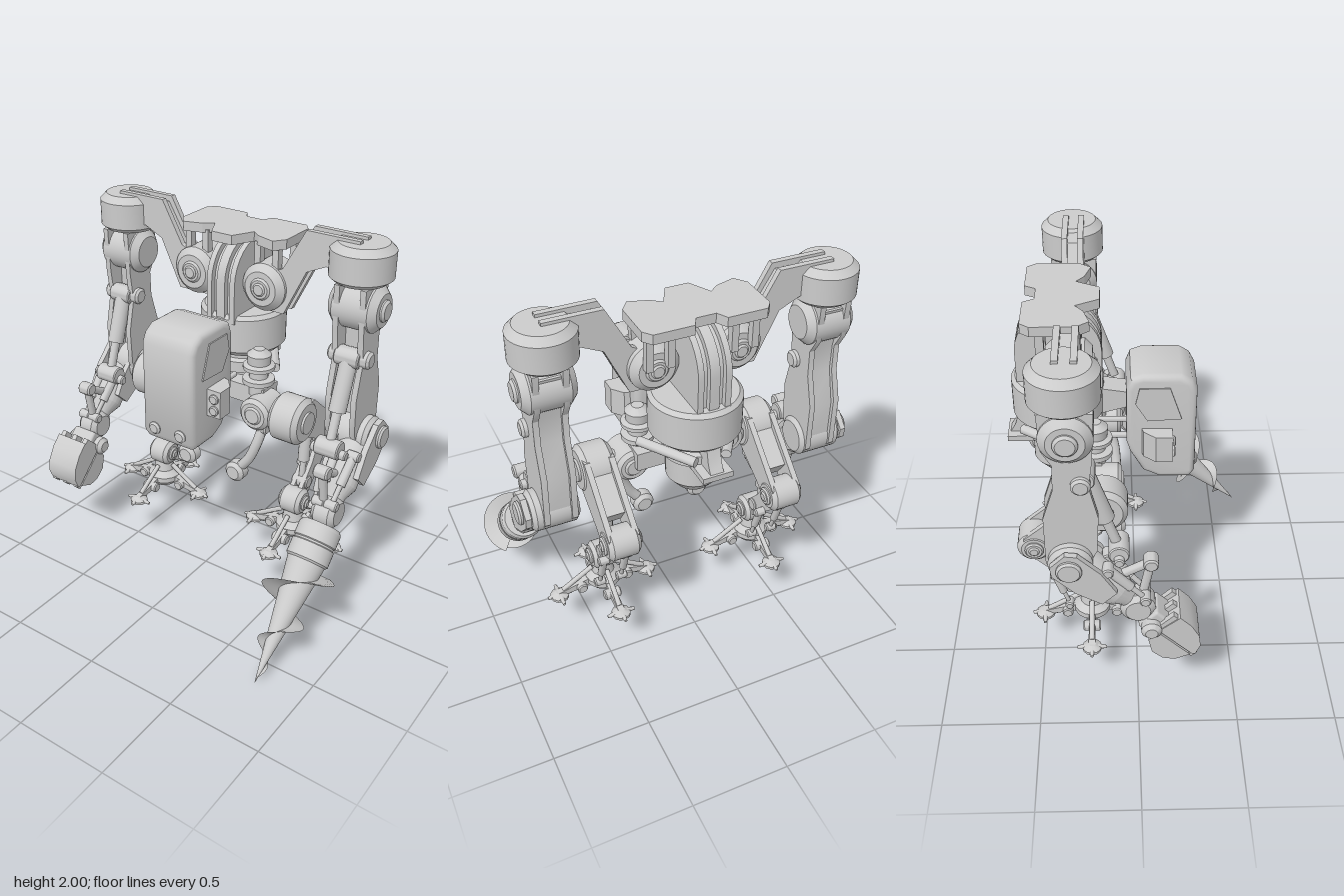
import * as THREE from 'three';
import { toCreasedNormals } from 'three/addons/utils/BufferGeometryUtils.js';
import { RoundedBoxGeometry } from 'three/addons/geometries/RoundedBoxGeometry.js';

const grey = new THREE.MeshStandardMaterial({ color: 0xcccccc });
const thin = new THREE.MeshStandardMaterial({ color: 0xcccccc, side: THREE.DoubleSide });
const V = (x, y, z) => new THREE.Vector3(x, y, z);

function add(parent, name, geo, x = 0, y = 0, z = 0) {
  const m = new THREE.Mesh(geo, grey);
  m.name = name;
  m.position.set(x, y, z);
  parent.add(m);
  return m;
}
const box = (p, name, w, h, d, x, y, z) => add(p, name, new THREE.BoxGeometry(w, h, d), x, y, z);
const lathe = (pts, n = 32) =>
  toCreasedNormals(new THREE.LatheGeometry(pts.map(([r, y]) => new THREE.Vector2(r, y)), n), 0.5);

// Bevelled drum along the axis 'x' or 'z'
function drum(p, name, r, h, axis, x, y, z, c = 0.02) {
  const m = add(p, name, lathe([[0, -h / 2], [r - c, -h / 2], [r, -h / 2 + c], [r, h / 2 - c], [r - c, h / 2], [0, h / 2]]), x, y, z);
  if (axis === 'x') m.rotation.z = Math.PI / 2;
  else m.rotation.x = Math.PI / 2;
}
// Joint: a drum along x with stepped bosses on both ends
function joint(p, name, r, w, x, y, z) {
  drum(p, name, r, w, 'x', x, y, z, r * 0.25);
  drum(p, name + 'Boss', r * 0.55, w + 0.03, 'x', x, y, z, 0.008);
  drum(p, name + 'Pin', r * 0.32, w + 0.045, 'x', x, y, z, 0.008);
}
// Round bar between two points
function rod(p, name, a, b, r, r2 = r) {
  const d = b.clone().sub(a);
  const m = add(p, name, toCreasedNormals(new THREE.CylinderGeometry(r2, r, d.length(), 16), 0.5));
  m.position.copy(a).addScaledVector(d, 0.5);
  m.quaternion.setFromUnitVectors(V(0, 1, 0), d.normalize());
}
// Hydraulic cylinder: thick sleeve, thin rod and pinned ends
function piston(p, name, a, b, r) {
  rod(p, name + 'Sleeve', a, a.clone().lerp(b, 0.6), r);
  rod(p, name + 'Rod', a, b, r * 0.55);
  for (const e of [a, b]) drum(p, name + 'End', r * 1.1, r * 3, 'x', e.x, e.y, e.z, 0.006);
}
const shapeOf = pts => new THREE.Shape(pts.map(([a, b]) => new THREE.Vector2(a, b)));
const flat = depth => ({ depth, bevelEnabled: false });
// Plate with an outline of [z, y] points, centred on x with width w
function sidePlate(p, name, pts, x, w) {
  const g = new THREE.ExtrudeGeometry(shapeOf(pts.map(([z, y]) => [-z, y])), flat(w));
  g.translate(0, 0, -w / 2).rotateY(Math.PI / 2);
  add(p, name, toCreasedNormals(g, 0.5), x, 0, 0);
}
// Plate with an outline of [x, y] points from z0 to z1
const frontPlate = (p, name, pts, z0, z1) =>
  add(p, name, new THREE.ExtrudeGeometry(shapeOf(pts), flat(z1 - z0)), 0, 0, z0);
// Horizontal plate with an outline of [x, z] points
const levelPlate = (p, name, pts, y, h) =>
  add(p, name, new THREE.ExtrudeGeometry(shapeOf(pts.map(([x, z]) => [x, -z])), flat(h)).rotateX(-Math.PI / 2), 0, y, 0);

function torso(g) {
  // Top plate with a rear notch and a front tab
  const half = [[0.05, -0.47], [0.08, -0.525], [0.28, -0.525], [0.315, -0.48], [0.315, -0.27], [0.27, -0.21], [0.17, -0.24], [0.12, -0.28], [0.06, -0.165]];
  levelPlate(g, 'topPlate', [...half, ...half.map(([x, z]) => [-x, z]).reverse()], 1.875, 0.05);
  // Arched neck ribs
  const arch = (r) => {
    const pts = [[-0.37 + r, 1.45]];
    for (let i = 0; i <= 14; i++) pts.push([-0.37 + r * Math.cos(i * Math.PI / 14), 1.66 + r * Math.sin(i * Math.PI / 14)]);
    return [...pts, [-0.37 - r, 1.45]];
  };
  sidePlate(g, 'neckCore', arch(0.18), 0, 0.16);
  for (const x of [-0.07, 0, 0.07]) sidePlate(g, 'neckRib', arch(0.21), x, x ? 0.03 : 0.05);
  // Turntable and the drum hanging below it
  add(g, 'turntable', lathe([[0, 1.26], [0.2, 1.26], [0.23, 1.29], [0.23, 1.47], [0.21, 1.49], [0, 1.49]], 48), 0, 0, -0.385);
  add(g, 'lowerDrum', lathe([[0, 0.94], [0.09, 0.94], [0.14, 1.0], [0.14, 1.13], [0.16, 1.14], [0.16, 1.2], [0.13, 1.21], [0.13, 1.27], [0, 1.27]], 40), 0, 0, -0.385);
  box(g, 'rearPlate', 0.16, 0.03, 0.2, 0, 1.14, -0.55);
  sidePlate(g, 'rearFin', [[-0.64, 1.15], [-0.5, 1.15], [-0.5, 1.27], [-0.59, 1.27], [-0.61, 1.2]], 0, 0.07);
  box(g, 'pelvis', 0.54, 0.1, 0.14, 0, 1.07, -0.24);
  sidePlate(g, 'cabinBracket', [[-0.02, 1.32], [-0.02, 1.4], [-0.2, 1.43], [-0.2, 1.27]], 0, 0.12);
  for (const s of [-1, 1]) {
    rod(g, 'neckBar', V(s * 0.07, 1.15, -0.2), V(s * 0.07, 1.15, -0.04), 0.015);
    rod(g, 'rearPiston', V(s * 0.08, 1.2, -0.57), V(s * 0.26, 1.2, -0.3), 0.025);
    // Stacked suspension column
    add(g, 'suspension', lathe([[0, 1.08], [0.05, 1.08], [0.05, 1.15], [0.085, 1.15], [0.085, 1.175], [0.05, 1.18], [0.05, 1.225], [0.085, 1.23], [0.085, 1.25], [0.06, 1.26], [0.065, 1.31], [0.03, 1.34], [0, 1.34]], 24), s * 0.22, 0, -0.2);
    // Shoulder hub and the struts that carry it
    drum(g, 'hub', 0.125, 0.22, 'z', s * 0.212, 1.665, -0.31, 0.035);
    drum(g, 'hubRing', 0.06, 0.24, 'z', s * 0.212, 1.665, -0.31, 0.012);
    drum(g, 'hubPin', 0.035, 0.26, 'z', s * 0.212, 1.665, -0.31, 0.008);
    for (const x of [0.16, 0.265]) for (const z of [-0.27, -0.44])
      box(g, 'hubStrut', 0.035, 0.2, 0.04, s * x, 1.79, z);
    // Shoulder bracket: two plates with a solid core
    const plate = [[0.72, 2], [0.434, 2], [0.31, 1.78], [0.15, 1.7], [0.148, 1.54], [0.323, 1.54], [0.444, 1.79], [0.55, 1.84], [0.72, 1.84]];
    const core = [[0.57, 1.97], [0.45, 1.97], [0.33, 1.77], [0.17, 1.7], [0.165, 1.56], [0.31, 1.56], [0.43, 1.8], [0.57, 1.86]];
    for (const z of [-0.36, -0.28]) frontPlate(g, 'bracketPlate', plate.map(([x, y]) => [s * x, y]), z, z + 0.03);
    frontPlate(g, 'bracketCore', core.map(([x, y]) => [s * x, y]), -0.34, -0.27);
  }
}

function cabin(g) {
  // Rounded cab shell
  const pts = [[0.265, 0.965], [0.275, 0.98], [0.275, 1.46], [0.255, 1.5], [0.215, 1.525], [0.04, 1.525], [0.0, 1.51], [-0.015, 1.47], [-0.015, 1.16], [0.0, 1.11], [0.06, 1.0], [0.13, 0.965]];
  const geo = new THREE.ExtrudeGeometry(shapeOf(pts.map(([z, y]) => [-z, y])), { depth: 0.25, bevelThickness: 0.035, bevelSize: 0.03, bevelSegments: 4 });
  geo.translate(0, 0, -0.125).rotateY(Math.PI / 2);
  add(g, 'cabin', toCreasedNormals(geo, 0.7));
  for (const s of [-1, 1]) {
    sidePlate(g, 'sidePanel', [[0.23, 1.31], [0.17, 1.49], [0.02, 1.49], [0.0, 1.4], [0.06, 1.3]], s * 0.16, 0.014);
    // Lamp box with a tapered rear and two round lamps
    const lampBox = [[0.15, 0.03], [0.19, 0.04], [0.24, 0.1], [0.24, 0.185], [0.15, 0.185]];
    levelPlate(g, 'lampBox', lampBox.map(([x, z]) => [s * x, z]), 1.1, 0.15);
    for (const y of [1.14, 1.205]) drum(g, 'lamp', 0.026, 0.02, 'z', s * 0.205, y, 0.19, 0.006);
    drum(g, 'bumperStud', 0.034, 0.05, 'z', s * 0.08, 1.005, 0.295, 0.01);
  }
}

function leg(g, s) {
  const x = s * 0.45;
  // Hip
  drum(g, 'hipDrum', 0.127, 0.175, 'x', x, 1.015, -0.17, 0.025);
  rod(g, 'hipAxle', V(s * 0.2, 1.015, -0.17), V(s * 0.55, 1.015, -0.17), 0.06);
  drum(g, 'hipMount', 0.09, 0.2, 'z', s * 0.27, 1.015, -0.17);
  drum(g, 'hipMountRing', 0.05, 0.22, 'z', s * 0.27, 1.015, -0.17, 0.01);
  // Thigh fork running back to the knee
  const thigh = [[-0.12, 0.96], [-0.17, 1.11], [-0.26, 1.11], [-0.56, 0.85], [-0.55, 0.76], [-0.48, 0.74], [-0.4, 0.8]];
  for (const k of [-1, 1]) sidePlate(g, 'thighPlate', thigh, x + k * 0.065, 0.03);
  sidePlate(g, 'thighCore', [[-0.17, 0.97], [-0.25, 1.08], [-0.45, 0.91], [-0.39, 0.82]], x, 0.12);
  joint(g, 'knee', 0.085, 0.17, x, 0.79, -0.51);
  // Shin
  const shin = [[-0.44, 0.83], [-0.55, 0.72], [-0.42, 0.59], [-0.27, 0.44], [-0.21, 0.5], [-0.35, 0.66]];
  for (const k of [-1, 1]) sidePlate(g, 'shinPlate', shin, x + k * 0.025, 0.025);
  piston(g, 'thighPiston', V(x, 0.88, -0.33), V(x, 0.56, -0.31), 0.032);
  for (const k of [-1, 1]) piston(g, 'anklePiston', V(x + k * 0.06, 0.6, -0.42), V(x + k * 0.06, 0.39, -0.35), 0.02);
  joint(g, 'ankle', 0.075, 0.13, x, 0.475, -0.235);
  // Foot hub with four hinged toes
  add(g, 'footHub', lathe([[0, 0.27], [0.07, 0.27], [0.095, 0.3], [0.095, 0.33], [0.06, 0.36], [0.05, 0.42], [0, 0.42]], 16), x, 0, -0.235);
  for (let i = 0; i < 4; i++) {
    const toe = new THREE.Group();
    toe.name = 'toe';
    toe.position.set(x, 0, -0.235);
    toe.rotation.y = i * Math.PI / 2;
    g.add(toe);
    sidePlate(toe, 'toeArm', [[0.06, 0.29], [0.08, 0.33], [0.14, 0.315], [0.26, 0.285], [0.25, 0.26], [0.14, 0.275]], 0, 0.035);
    rod(toe, 'toeRod', V(0, 0.395, 0.06), V(0, 0.29, 0.23), 0.013);
    drum(toe, 'toeHinge', 0.028, 0.09, 'x', 0, 0.29, 0.13, 0.006);
    add(toe, 'toePad', lathe([[0, 0.25], [0.05, 0.25], [0.05, 0.265], [0.02, 0.285], [0, 0.285]], 12), 0, 0, 0.25);
    for (let j = 0; j < 4; j++) {
      const a = j * Math.PI / 2;
      rod(toe, 'padClaw', V(0, 0.268, 0.25), V(0.075 * Math.sin(a), 0.258, 0.25 + 0.065 * Math.cos(a)), 0.018, 0.008);
    }
  }
  // Curved feeler hanging below the hip mount
  drum(g, 'feelerHinge', 0.035, 0.06, 'x', s * 0.295, 0.925, -0.14, 0.008);
  const path = new THREE.CatmullRomCurve3([V(s * 0.295, 0.93, -0.14), V(s * 0.275, 0.83, -0.11), V(s * 0.235, 0.73, -0.1), V(s * 0.165, 0.64, -0.1)]);
  add(g, 'feeler', new THREE.TubeGeometry(path, 20, 0.028, 10));
  drum(g, 'feelerTip', 0.058, 0.09, 'z', s * 0.16, 0.63, -0.1);
}

function upperArm(g, s) {
  const x = s * 0.715;
  // Shoulder pod
  add(g, 'shoulderPod', lathe([[0, 1.79], [0.13, 1.79], [0.16, 1.815], [0.16, 1.95], [0.125, 1.985], [0, 1.985]], 40), s * 0.708, 0, -0.315);
  drum(g, 'shoulderJoint', 0.12, 0.26, 'x', x, 1.665, -0.31, 0.035);
  drum(g, 'shoulderBoss', 0.055, 0.15, 'x', x + s * 0.075, 1.665, -0.31, 0.012);
  // Twin side plates with a rear core
  const link = [[-0.19, 1.79], [-0.43, 1.79], [-0.42, 1.6], [-0.375, 1.52], [-0.38, 1.38], [-0.43, 1.22], [-0.43, 0.95], [-0.37, 0.88], [-0.25, 0.9], [-0.19, 1.02], [-0.18, 1.22], [-0.22, 1.4], [-0.2, 1.55]];
  for (const k of [-1, 1]) sidePlate(g, 'armPlate', link, x + k * 0.07, 0.03);
  sidePlate(g, 'armCore', [[-0.28, 1.75], [-0.41, 1.75], [-0.36, 1.52], [-0.36, 1.38], [-0.41, 1.2], [-0.41, 0.97], [-0.3, 0.97], [-0.3, 1.3]], x, 0.13);
  drum(g, 'armPin', 0.045, 0.23, 'x', x, 1.415, -0.255, 0.012);
  piston(g, 'armPiston', V(x, 1.415, -0.24), V(x, 0.97, -0.09), 0.045);
  drum(g, 'pistonCrossbar', 0.025, 0.2, 'x', x, 0.95, -0.09, 0.006);
  drum(g, 'elbow', 0.105, 0.24, 'x', x + s * 0.015, 0.97, -0.315, 0.02);
  // Small linkage from the piston to the wrist
  const wx = s * 0.765;
  rod(g, 'wristLink', V(wx, 0.84, -0.08), V(wx, 0.92, 0.06), 0.022);
  rod(g, 'wristLink', V(wx, 0.92, 0.06), V(wx, 0.7, 0.02), 0.022);
  drum(g, 'wristLinkPin', 0.036, 0.08, 'x', wx, 0.92, 0.06, 0.008);
}

// Forearm frame: local -y runs from the elbow toward the tool
function forearm(g, s) {
  const f = new THREE.Group();
  f.name = s > 0 ? 'drillForearm' : 'gripperForearm';
  f.position.set(s * 0.778, 0.98, -0.32);
  f.rotation.x = -Math.PI / 4;
  g.add(f);
  add(f, 'forearmSleeve', lathe([[0, -0.42], [0.05, -0.42], [0.06, -0.36], [0.09, -0.3], [0.09, -0.1], [0.07, -0.05], [0, -0.05]], 24));
  // Elbow cheeks with rounded ends
  for (const k of [-1, 1]) {
    sidePlate(f, 'elbowCheek', [[-0.05, 0.075], [0.05, 0.075], [0.085, 0.03], [0.085, -0.12], [0.05, -0.26], [-0.05, -0.26], [-0.085, -0.12], [-0.085, 0.03]], k * 0.092, 0.03);
    piston(f, 'wristPiston', V(k * 0.05, -0.16, 0.09), V(k * 0.035, -0.43, 0.07), 0.024);
  }
  drum(f, 'elbowCap', 0.06, 0.03, 'x', s * 0.115, 0, 0, 0.01);
  drum(f, 'wrist', 0.085, 0.13, 'x', 0, -0.45, 0, 0.025);
  return f;
}

function drill(f) {
  add(f, 'drillBit', lathe([[0, -1.38], [0.1, -0.73], [0.112, -0.72], [0.112, -0.64], [0.105, -0.635], [0.105, -0.625], [0.112, -0.62], [0.112, -0.55], [0.1, -0.53], [0, -0.53]], 40));
  // Spiral flight that narrows toward the tip
  const pos = [], idx = [], n = 120;
  for (let i = 0; i <= n; i++) {
    const t = 0.62 - 0.58 * i / n, a = 2 * Math.PI * (0.516 - t) / 0.26;
    for (const r of [0.13 * t, Math.min(0.35 * t, 0.175)]) pos.push(-r * Math.sin(a), t - 1.38, r * Math.cos(a));
    if (i < n) idx.push(2 * i, 2 * i + 1, 2 * i + 2, 2 * i + 1, 2 * i + 3, 2 * i + 2);
  }
  const geo = new THREE.BufferGeometry();
  geo.setAttribute('position', new THREE.Float32BufferAttribute(pos, 3));
  geo.setIndex(idx);
  geo.computeVertexNormals();
  add(f, 'drillFlight', geo).material = thin;
}

function gripper(f) {
  drum(f, 'gripperRoller', 0.05, 0.25, 'x', 0, -0.56, -0.02);
  add(f, 'gripperPalm', new RoundedBoxGeometry(0.15, 0.1, 0.13, 2, 0.015), 0, -0.56, 0);
  // Curved front jaw closing over a smaller rear jaw
  sidePlate(f, 'frontJaw', [[0.0, -0.59], [0.134, -0.6], [0.133, -0.68], [0.11, -0.76], [0.07, -0.81], [0.012, -0.835], [0.0, -0.82]], 0, 0.2);
  sidePlate(f, 'rearJaw', [[-0.01, -0.59], [-0.08, -0.6], [-0.125, -0.67], [-0.12, -0.74], [-0.085, -0.79], [-0.01, -0.82]], 0, 0.2);
  for (const x of [-0.08, 0, 0.08]) {
    box(f, 'jawTooth', 0.025, 0.03, 0.04, x, -0.825, 0);
    box(f, 'jawHinge', 0.03, 0.04, 0.12, x, -0.59, 0.06);
  }
}

export function createModel() {
  const root = new THREE.Group();
  root.name = 'walkingMachine';
  const g = new THREE.Group();
  g.name = 'body';
  g.position.x = -0.022;
  root.add(g);
  torso(g);
  cabin(g);
  for (const s of [-1, 1]) {
    leg(g, s);
    upperArm(g, s);
    const f = forearm(g, s);
    if (s > 0) drill(f);
    else gripper(f);
  }
  return root;
}
